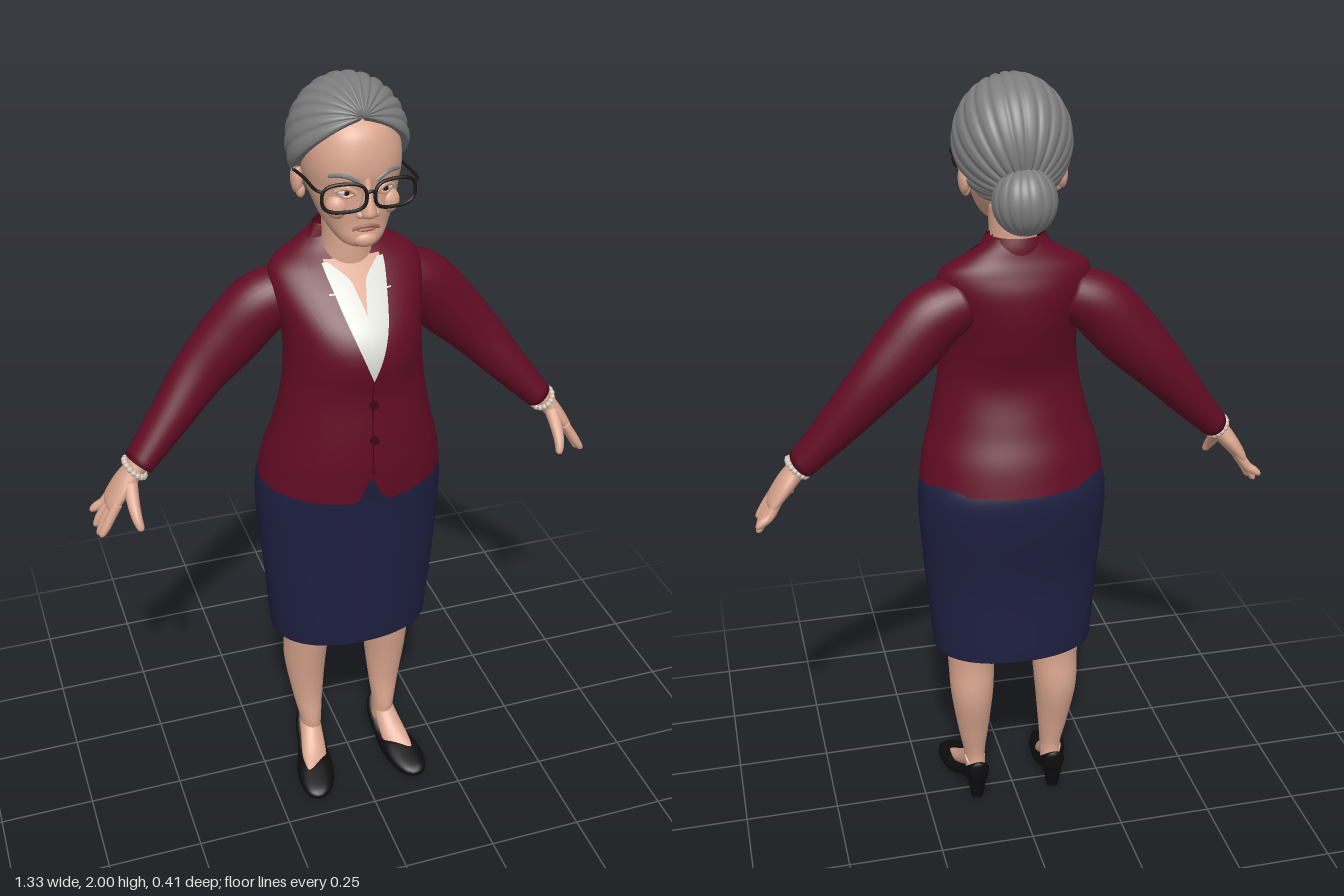
import * as THREE from 'three';
import { mergeGeometries } from 'three/addons/utils/BufferGeometryUtils.js';

const V = (x, y, z) => new THREE.Vector3(x, y, z);
const paint = (name, color, side = THREE.FrontSide) => {
  const m = new THREE.MeshStandardMaterial({ color, side });
  m.name = name;
  return m;
};

// Smoothly subdivide the rows of a small table
function densify(rows, sub = 6) {
  const out = [], last = rows.length - 1;
  for (let i = 0; i < last; i++) {
    const [a, b, c, d] = [rows[Math.max(i - 1, 0)], rows[i], rows[i + 1], rows[Math.min(i + 2, last)]];
    for (let k = 0; k < sub; k++) {
      const t = k / sub;
      out.push(b.map((v, j) => 0.5 * (2 * v + (c[j] - a[j]) * t + (2 * a[j] - 5 * v + 4 * c[j] - d[j]) * t * t
        + (3 * v - a[j] - 3 * c[j] + d[j]) * t * t * t)));
    }
  }
  out.push(rows[last]);
  return out;
}

// Skin a list of closed rings
function loft(rings, caps = true) {
  const n = rings[0].length, pos = [], idx = [];
  rings.forEach(r => r.forEach(p => pos.push(p.x, p.y, p.z)));
  for (let i = 0; i < rings.length - 1; i++) for (let j = 0; j < n; j++) {
    const k = (j + 1) % n, a = i * n + j, b = i * n + k;
    idx.push(a, b, b + n, a, b + n, a + n);
  }
  if (caps) [0, rings.length - 1].forEach((r, end) => {
    const c = rings[r].reduce((s, p) => s.add(p), V(0, 0, 0)).divideScalar(n), ci = pos.length / 3;
    pos.push(c.x, c.y, c.z);
    for (let j = 0; j < n; j++) {
      const a = r * n + j, b = r * n + (j + 1) % n;
      idx.push(ci, end ? a : b, end ? b : a);
    }
  });
  const g = new THREE.BufferGeometry();
  g.setAttribute('position', new THREE.Float32BufferAttribute(pos, 3));
  g.setIndex(idx);
  g.computeVertexNormals();
  return g;
}
const circle = (n, f) => Array.from({ length: n }, (_, j) => f(j / n * Math.PI * 2));
const power = (v, e) => Math.sign(v) * Math.abs(v) ** e;

// Upright body from rows of [y, halfWidth, zBack, zFront]
const upright = (rows, n = 64, e = 2) => rows.map(([y, w, b, f]) => circle(n, a =>
  V(w * power(Math.sin(a), 2 / e), y, (b + f) / 2 + (f - b) / 2 * power(Math.cos(a), 2 / e))));

// Front surface height of such a body
function frontZ(rows, x, y, e = 2) {
  let i = 0;
  while (i < rows.length - 2 && rows[i + 1][0] < y) i++;
  const p = rows[i], q = rows[i + 1], t = THREE.MathUtils.clamp((y - p[0]) / (q[0] - p[0]), 0, 1);
  const [, w, b, f] = p.map((v, j) => v + (q[j] - v) * t);
  return (b + f) / 2 + (f - b) / 2 * Math.max(0, 1 - Math.abs(x / w) ** e) ** (1 / e);
}

// Limb from rows of [x, y, z, radius in z, other radius]
function limb(rows, n = 20) {
  const d = densify(rows, 5), P = d.map(r => V(r[0], r[1], r[2]));
  return loft(d.map((r, i) => {
    const T = P[Math.min(i + 1, P.length - 1)].clone().sub(P[Math.max(i - 1, 0)]).normalize();
    const Z = V(0, 0, 1).addScaledVector(T, -T.z).normalize(), N = T.clone().cross(Z);
    return circle(n, a => P[i].clone().addScaledVector(Z, r[3] * Math.cos(a)).addScaledVector(N, r[4] * Math.sin(a)));
  }));
}
const ball = (x, y, z, rx, ry, rz) => new THREE.SphereGeometry(1, 20, 14).scale(rx, ry, rz).translate(x, y, z);
const wire = (pts, r, closed = false) =>
  new THREE.TubeGeometry(new THREE.CatmullRomCurve3(pts.map(p => V(...p)), closed), 40, r, 8, closed);

// Cloth panel lying on a body, from rows of [y, inner x, outer x]
function panel(body, rows, lift, e = 2) {
  const d = densify(rows, 5), pos = [], idx = [], m = 8;
  d.forEach(([y, a, b], i) => {
    for (let j = 0; j <= m; j++) {
      const x = a + (b - a) * j / m;
      pos.push(x, y, frontZ(body, x, y, e) + lift);
      if (i && j) { const q = i * (m + 1) + j; idx.push(q - m - 2, q - m - 1, q, q - m - 2, q, q - 1); }
    }
  });
  const g = new THREE.BufferGeometry();
  g.setAttribute('position', new THREE.Float32BufferAttribute(pos, 3));
  g.setIndex(idx);
  g.computeVertexNormals();
  return g;
}

// Ellipsoid of combed strands running out from a pole, cut off where keep() fails
function combed(c, r, pole, strands, keep) {
  const T = pole.clone().normalize().negate(), e1 = V(1, 0, 0), e2 = T.clone().cross(e1), n = strands * 8;
  const at = (th, a, k = 1) => T.clone().multiplyScalar(-Math.cos(th)).addScaledVector(e1, Math.sin(th) * Math.cos(a))
    .addScaledVector(e2, Math.sin(th) * Math.sin(a)).multiply(r).multiplyScalar(k).add(c);
  const ends = circle(n, a => {
    let th = 0.06;
    while (th < 3.1 && keep(at(th, a))) th += 0.01;
    return th;
  });
  const rings = [];
  for (let i = 0; i <= 33; i++) rings.push(ends.map((end, j) => {
    const a = j / n * Math.PI * 2, t = Math.min(i / 32, 1), groove = 0.03 * Math.abs(Math.cos(a * strands / 2)) ** 6;
    return at(0.03 + (end - 0.03) * t, a, i > 32 ? 0.88 : 1 - groove);
  }));
  return loft(rings, false);
}

export function createModel() {
  const root = new THREE.Group();
  root.name = 'woman';
  const DS = THREE.DoubleSide;
  const skin = paint('skin', 0xd9a58e, DS), hair = paint('grey hair', 0x7d7d7d, DS), maroon = paint('maroon cloth', 0x620c24, DS);
  const navy = paint('navy cloth', 0x1e1f40, DS), white = paint('blouse white', 0xdcdcd6, DS), black = paint('black leather', 0x0d0d0e);
  const frame = paint('dark frames', 0x1c1715), lip = paint('lips', 0xa96a5e), dark = paint('dark maroon', 0x3c0615, DS);
  const pearl = paint('pearl', 0xcfc0b4);
  const add = (name, geo, mat) => {
    const m = new THREE.Mesh(geo, mat);
    m.name = name;
    root.add(m);
  };
  // Add a part on the left and its mirror image on the right
  const pair = (name, geo, mat) => {
    add(name + 'Left', geo, mat);
    const g = geo.clone().scale(-1, 1, 1), ix = g.index.array;
    for (let i = 0; i < ix.length; i += 3) [ix[i], ix[i + 1]] = [ix[i + 1], ix[i]];
    add(name + 'Right', g, mat);
  };

  // Jacket body with a cutaway front hem
  const torso = densify([[0.98, 0.238, -0.172, 0.195], [1.06, 0.225, -0.155, 0.2], [1.15, 0.2, -0.125, 0.198],
    [1.26, 0.178, -0.1, 0.19], [1.36, 0.17, -0.122, 0.2], [1.43, 0.175, -0.135, 0.178], [1.5, 0.19, -0.135, 0.115],
    [1.55, 0.18, -0.122, 0.06], [1.585, 0.125, -0.11, 0.02], [1.615, 0.08, -0.102, -0.005], [1.63, 0.068, -0.095, -0.02]]);
  const jacket = upright(torso, 96);
  jacket.flat().forEach(p => {
    if (p.y > 1.12) return;
    const hem = 0.99 - 0.08 * Math.max(p.z, 0) + (p.z > 0 ? 0.07 * Math.max(0, 1 - Math.abs(p.x) / 0.035) : 0);
    p.y = hem + (p.y - 0.98) * (1.12 - hem) / 0.14;
  });
  add('jacket', loft(jacket, false), maroon);
  add('jacketSeam', panel(torso, [[1.06, -0.001, 0.002], [1.2, -0.001, 0.002], [1.32, -0.001, 0.002]], 0.003), dark);
  for (const y of [1.155, 1.25])
    add('button', new THREE.CylinderGeometry(0.011, 0.011, 0.008, 16).rotateX(Math.PI / 2).translate(0.004, y, frontZ(torso, 0, y) + 0.004), dark);
  pair('pocketFlap', panel(torso, [[1.085, 0.095, 0.175], [1.1, 0.093, 0.175], [1.112, 0.093, 0.173]], 0.006), maroon);
  pair('lapel', panel(torso, [[1.31, -0.004, 0.01], [1.36, 0.016, 0.052], [1.42, 0.038, 0.092], [1.47, 0.054, 0.12], [1.51, 0.064, 0.138]], 0.009), maroon);
  pair('collar', panel(torso, [[1.513, 0.065, 0.1], [1.55, 0.074, 0.112], [1.58, 0.076, 0.104], [1.605, 0.068, 0.085]], 0.009), maroon);
  add('collarStand', loft(densify([[1.575, -0.108, 0.105], [1.61, -0.106, 0.085], [1.635, -0.1, 0.072]], 4).map(([y, b, w]) =>
    circle(40, a => V(w * Math.sin(a), y, -0.03 + (b + 0.03) * -Math.cos(a) * (Math.cos(a) > 0 ? 0.3 : 1)))), false), maroon);

  // Blouse and bare chest in the neckline
  add('chest', panel(torso, [[1.43, -0.03, 0.03], [1.5, -0.06, 0.06], [1.57, -0.07, 0.07]], 0.002), skin);
  pair('blouse', panel(torso, [[1.31, 0, 0.008], [1.36, 0, 0.03], [1.42, 0, 0.055], [1.465, 0, 0.068], [1.51, 0.012, 0.076], [1.535, 0.022, 0.084], [1.565, 0.06, 0.088]], 0.005), white);

  // Skirt, open at the hem
  const skirt = densify([[0.5, 0.21, -0.138, 0.145], [0.51, 0.214, -0.142, 0.148], [0.7, 0.23, -0.142, 0.158], [0.88, 0.243, -0.164, 0.168],
    [0.97, 0.24, -0.168, 0.175], [1.03, 0.218, -0.15, 0.184], [1.08, 0.2, -0.13, 0.185]]);
  add('skirt', loft(upright(skirt, 64, 2.2), false), navy);

  // Sleeves, hands and bracelets
  pair('sleeve', limb([[0.13, 1.475, -0.04, 0.07, 0.065], [0.205, 1.44, -0.048, 0.074, 0.08], [0.28, 1.36, -0.055, 0.068, 0.08],
    [0.36, 1.275, -0.055, 0.06, 0.068], [0.45, 1.17, -0.035, 0.055, 0.052], [0.537, 1.072, -0.012, 0.048, 0.037]], 32), maroon);
  const hand = [limb([[0.515, 1.1, -0.012, 0.033, 0.026], [0.55, 1.058, -0.01, 0.034, 0.025], [0.58, 1.022, -0.01, 0.046, 0.023],
    [0.61, 0.982, -0.009, 0.05, 0.017], [0.62, 0.967, -0.009, 0.044, 0.011]])];
  [[-0.048, 0.925], [-0.022, 0.9], [0.006, 0.895], [0.033, 0.908]].forEach(([z, tip], i) => {
    const out = 0.002 * i;
    hand.push(limb([[0.603, 0.99, z * 0.9, 0.012, 0.012], [0.625, 0.955, z, 0.0125, 0.012], [0.645 - out, (0.955 + tip) / 2, z * 1.1, 0.012, 0.011],
      [0.656 - out, tip + 0.006, z * 1.15, 0.009, 0.008], [0.657 - out, tip, z * 1.15, 0.003, 0.003]], 12));
  });
  hand.push(limb([[0.565, 1.035, 0.015, 0.018, 0.018], [0.568, 1.0, 0.05, 0.015, 0.016], [0.566, 0.97, 0.078, 0.013, 0.013],
    [0.561, 0.948, 0.092, 0.009, 0.009], [0.56, 0.943, 0.094, 0.003, 0.003]], 12));
  pair('hand', mergeGeometries(hand), skin);
  pair('bracelet', mergeGeometries(circle(16, a =>
    ball(0.548 + 0.03 * 0.75 * Math.sin(a), 1.062 + 0.03 * 0.65 * Math.sin(a), -0.01 + 0.041 * Math.cos(a), 0.008, 0.008, 0.008))), pearl);

  // Legs and feet
  pair('leg', limb([[0.108, 0.07, -0.015, 0.034, 0.028], [0.109, 0.13, -0.003, 0.036, 0.029], [0.113, 0.22, -0.014, 0.042, 0.042],
    [0.117, 0.34, -0.022, 0.063, 0.057], [0.116, 0.43, -0.012, 0.068, 0.062], [0.115, 0.52, -0.006, 0.078, 0.069], [0.115, 0.65, 0, 0.085, 0.075]], 28), skin);
  pair('foot', limb([[0.109, 0.12, -0.015, 0.034, 0.028], [0.114, 0.088, 0.025, 0.026, 0.032], [0.122, 0.052, 0.075, 0.022, 0.036], [0.132, 0.03, 0.13, 0.01, 0.03]]), skin);

  // Pumps from rows of [z, centre x, halfWidth, bottom, top]
  const shoe = densify([[-0.066, 0.107, 0.008, 0.075, 0.115], [-0.058, 0.108, 0.026, 0.058, 0.124], [-0.03, 0.109, 0.036, 0.052, 0.102], [0.005, 0.112, 0.039, 0.038, 0.078],
    [0.05, 0.12, 0.045, 0.013, 0.058], [0.095, 0.128, 0.051, 0.001, 0.058], [0.145, 0.135, 0.048, 0.001, 0.045], [0.185, 0.141, 0.032, 0.003, 0.032], [0.2, 0.143, 0.01, 0.009, 0.02]], 4);
  pair('shoe', loft(shoe.map(([z, x, w, b, t]) => circle(28, a =>
    V(x + w * power(Math.cos(a), 0.8), (b + t) / 2 + (t - b) / 2 * power(Math.sin(a), 0.8), z)))), black);
  pair('shoeHeel', new THREE.CylinderGeometry(0.029, 0.017, 0.08, 16).translate(0.109, 0.04, -0.036), black);

  // Neck and head
  add('neck', loft(upright(densify([[1.48, 0.07, -0.075, 0.05], [1.56, 0.064, -0.072, 0.052], [1.62, 0.058, -0.068, 0.052], [1.7, 0.06, -0.07, 0.055]]), 40)), skin);
  const face = densify([[1.633, 0.022, 0.075, 0.125], [1.642, 0.045, 0.045, 0.138], [1.66, 0.062, 0.005, 0.143], [1.69, 0.08, -0.035, 0.14], [1.73, 0.096, -0.06, 0.142],
    [1.77, 0.108, -0.09, 0.142], [1.815, 0.114, -0.1, 0.15], [1.865, 0.11, -0.1, 0.144], [1.91, 0.09, -0.09, 0.124], [1.95, 0.05, -0.05, 0.07]]);
  add('head', loft(upright(face, 64, 2.2)), skin);
  add('nose', loft(upright(densify([[1.713, 0.008, 0.12, 0.15], [1.719, 0.019, 0.12, 0.17], [1.731, 0.02, 0.12, 0.178], [1.76, 0.013, 0.12, 0.168], [1.785, 0.011, 0.12, 0.157], [1.81, 0.012, 0.12, 0.149]]), 24)), skin);
  const fz = (x, y) => frontZ(face, x, y, 2.2);
  pair('nostril', ball(0.018, 0.0 + 1.724, 0.148, 0.011, 0.01, 0.014), skin);
  pair('cheek', ball(0.06, 1.735, 0.112, 0.028, 0.03, 0.024), skin);
  add('chin', ball(0, 1.656, 0.13, 0.03, 0.02, 0.02), skin);
  add('lips', mergeGeometries([wire([[-0.032, 1.683, fz(0.032, 1.683)], [-0.01, 1.692, fz(0.01, 1.69) + 0.005], [0.01, 1.692, fz(0.01, 1.69) + 0.005], [0.032, 1.683, fz(0.032, 1.683)]], 0.0045),
    ball(0, 1.683, fz(0, 1.683) + 0.001, 0.023, 0.005, 0.007)]), lip);
  pair('eye', ball(0.046, 1.775, fz(0.046, 1.775) - 0.005, 0.019, 0.009, 0.01), white);
  pair('iris', ball(0.046, 1.775, fz(0.046, 1.775) + 0.001, 0.008, 0.008, 0.005), frame);
  const lid = (y, r) => wire([[0.025, 1.772, fz(0.025, 1.772) + 0.001], [0.046, y, fz(0.046, y) + 0.003], [0.068, 1.774, fz(0.068, 1.774)]], r);
  pair('eyelid', mergeGeometries([lid(1.786, 0.0055), lid(1.764, 0.004)]), skin);
  pair('eyebrow', wire([[0.02, 1.8, fz(0.02, 1.8)], [0.05, 1.815, fz(0.05, 1.815)], [0.082, 1.812, fz(0.082, 1.812)]], 0.0055), hair);
  pair('ear', mergeGeometries([ball(0.118, 1.762, -0.012, 0.014, 0.036, 0.024), ball(0.112, 1.735, -0.002, 0.011, 0.017, 0.012)]), skin);

  // Swept-back hair and bun
  const line = [[-0.09, 1.66], [-0.035, 1.735], [0.0, 1.79], [0.06, 1.83], [0.1, 1.865], [0.145, 1.905]];
  const hairline = z => {
    let i = 0;
    while (i < line.length - 2 && line[i + 1][0] < z) i++;
    const [p, q] = [line[i], line[i + 1]];
    return p[1] + (q[1] - p[1]) * (z - p[0]) / (q[0] - p[0]);
  };
  add('hair', combed(V(0, 1.843, 0), V(0.143, 0.157, 0.148), V(0, -0.6, -0.8), 24, p => p.y > hairline(p.z)), hair);
  add('hairBun', combed(V(0, 1.732, -0.128), V(0.077, 0.08, 0.073), V(0, 1, 0.25), 16, () => true), hair);

  // Spectacles
  const rim = circle(16, a => [0.06 + 0.05 * power(Math.cos(a), 0.7), 1.773 + 0.033 * power(Math.sin(a), 0.7), 0.163 - 0.008 * Math.cos(a)]);
  pair('spectacleRim', wire(rim, 0.0042, true), frame);
  pair('spectacleArm', wire([[0.108, 1.79, 0.157], [0.118, 1.792, 0.145], [0.122, 1.791, 0.06], [0.125, 1.785, -0.012]], 0.0038), frame);
  add('spectacleBridge', wire([[-0.012, 1.78, 0.17], [0, 1.786, 0.172], [0.012, 1.78, 0.17]], 0.004), frame);
  return root;
}
